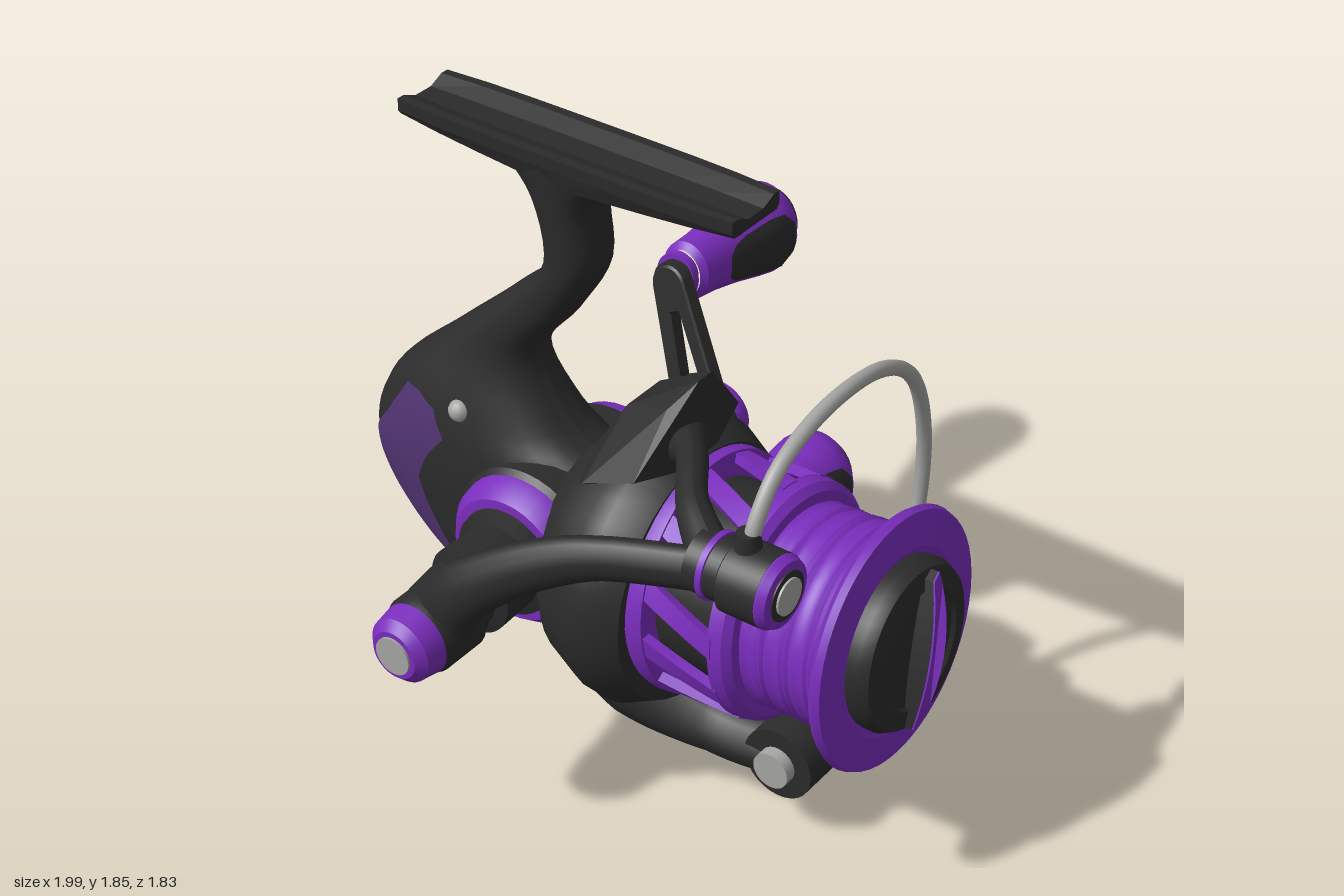
import * as THREE from 'three';
import { toCreasedNormals } from 'three/addons/utils/BufferGeometryUtils.js';
import { ConvexGeometry } from 'three/addons/geometries/ConvexGeometry.js';

const CX = -0.22; // centre line of the body
const mat = (name, color) => {
  const m = new THREE.MeshStandardMaterial({ color });
  m.name = name;
  return m;
};

export function createModel() {
  const black = mat('black', 0x2b2b2b);
  const purple = mat('purple', 0x7a2dbd);
  const darkPurple = mat('darkPurple', 0x503370);
  const silver = mat('silver', 0xa6a6a4);
  const root = new THREE.Group();
  root.name = 'fishingReel';

  const add = (name, geo, material, parent = root, x = 0, y = 0, z = 0) => {
    const m = new THREE.Mesh(geo, material);
    m.name = name;
    m.position.set(x, y, z);
    parent.add(m);
    return m;
  };
  const group = (name, x, y, z) => {
    const g = new THREE.Group();
    g.name = name;
    g.position.set(x, y, z);
    root.add(g);
    return g;
  };
  // Turned parts: profile pairs [radius, position along axis]
  const turn = (axis, profile, seg = 36) => {
    const g = new THREE.LatheGeometry(profile.map(p => new THREE.Vector2(...p)), seg);
    if (axis === 'x') g.rotateZ(-Math.PI / 2); else g.rotateX(Math.PI / 2);
    return toCreasedNormals(g, 0.6);
  };
  const disc = (axis, r, a, b, seg = 28) => turn(axis, [[0, a], [r, a], [r, b], [0, b]], seg);
  const v3 = p => new THREE.Vector3(...p);
  // Tube whose radius follows a list of values
  const limb = (points, radii, scaleX = 1) => {
    const curve = new THREE.CatmullRomCurve3(points.map(v3));
    const n = 24, sides = 14;
    const g = new THREE.TubeGeometry(curve, n, 1, sides);
    const pos = g.attributes.position, v = new THREE.Vector3();
    for (let i = 0; i <= n; i++) {
      const c = curve.getPointAt(i / n);
      const f = i / n * (radii.length - 1), k = Math.min(Math.floor(f), radii.length - 2);
      const r = THREE.MathUtils.lerp(radii[k], radii[k + 1], f - k);
      for (let j = 0; j <= sides; j++) {
        const id = i * (sides + 1) + j;
        v.fromBufferAttribute(pos, id).sub(c).multiplyScalar(r);
        pos.setXYZ(id, c.x + v.x * scaleX, c.y + v.y, c.z + v.z);
      }
    }
    g.computeVertexNormals();
    return g;
  };

  // Body and stem: sections [front z, front y, back z, back y, half width]
  const sections = [
    [-0.07, 1.82, -0.46, 1.82, 0.108], [-0.15, 1.7, -0.34, 1.7, 0.1], [-0.145, 1.52, -0.31, 1.5, 0.092],
    [-0.24, 1.35, -0.42, 1.38, 0.088], [-0.36, 1.18, -0.63, 1.19, 0.105], [-0.25, 0.98, -0.85, 0.98, 0.165],
    [-0.1, 0.88, -0.92, 0.8, 0.188], [-0.05, 0.7, -0.88, 0.66, 0.19], [-0.06, 0.5, -0.72, 0.48, 0.17],
    [-0.15, 0.395, -0.48, 0.375, 0.1], [-0.25, 0.375, -0.36, 0.37, 0.01]];
  const frontLine = new THREE.CatmullRomCurve3(sections.map(s => new THREE.Vector3(s[4], s[1], s[0])));
  const backLine = new THREE.CatmullRomCurve3(sections.map(s => new THREE.Vector3(s[4], s[3], s[2])));
  const bow = s => Math.sign(s) * Math.abs(s) ** 0.85;
  const bodySkin = (from, to, rows, cols, range, grow = 1) => {
    const pos = [], idx = [];
    for (let i = 0; i <= rows; i++) {
      const k = from + (to - from) * i / rows, t = k / (sections.length - 1);
      const f = frontLine.getPoint(t), b = backLine.getPoint(t), [a0, a1] = range(k);
      for (let j = 0; j <= cols; j++) {
        const a = THREE.MathUtils.degToRad(a0 + (a1 - a0) * j / cols);
        const c = bow(Math.cos(a)) * grow / 2;
        pos.push(CX + f.x * bow(Math.sin(a)) * grow, (f.y + b.y) / 2 + (f.y - b.y) * c, (f.z + b.z) / 2 + (f.z - b.z) * c);
        if (i < rows && j < cols) {
          const A = i * (cols + 1) + j, C = A + cols + 1;
          idx.push(A, C, A + 1, A + 1, C, C + 1);
        }
      }
    }
    const g = new THREE.BufferGeometry();
    g.setAttribute('position', new THREE.Float32BufferAttribute(pos, 3));
    g.setIndex(idx);
    g.computeVertexNormals();
    return g;
  };
  add('bodyAndStem', bodySkin(0, 10, 50, 32, () => [0, 360]), black);
  // Side panels: [section, start angle, end angle]
  const panelRows = [[4.85, 112, 125], [5, 98, 125], [5.5, 93, 131], [6, 103, 144], [6.5, 110, 143], [7, 110, 138], [8, 109, 115]];
  const panelRange = k => {
    let i = 0;
    while (i < panelRows.length - 2 && k > panelRows[i + 1][0]) i++;
    const p = panelRows[i], q = panelRows[i + 1], f = (k - p[0]) / (q[0] - p[0]);
    return [p[1] + (q[1] - p[1]) * f, p[2] + (q[2] - p[2]) * f];
  };
  add('leftSidePanel', bodySkin(4.85, 8, 42, 8, panelRange, 1.025), darkPurple);
  add('rightSidePanel', bodySkin(4.85, 8, 42, 8, k => panelRange(k).map(a => -a).reverse(), 1.025), darkPurple);
  for (const s of [-1, 1])
    add('bodyScrew', new THREE.SphereGeometry(0.033, 14, 10), silver, root, CX + s * 0.148, 1, -0.53);

  // Mounting foot with a grooved top
  const foot = new THREE.Shape([[-0.1, 1.795], [0.1, 1.795], [0.112, 1.825], [0.112, 1.86], [0.085, 1.86],
    [0.035, 1.84], [-0.035, 1.84], [-0.085, 1.86], [-0.112, 1.86], [-0.112, 1.825]].map(p => new THREE.Vector2(...p)));
  const footGeo = new THREE.ExtrudeGeometry(foot, { depth: 1.06, bevelEnabled: false, steps: 8 });
  footGeo.translate(CX, 0, -0.73);
  const fp = footGeo.attributes.position;
  for (let i = 0; i < fp.count; i++) { // thinner and narrower towards both ends
    const e = Math.abs(fp.getZ(i) + 0.2) / 0.53;
    if (fp.getY(i) < 1.81) fp.setY(i, 1.77 + 0.042 * e);
    fp.setX(i, CX + (fp.getX(i) - CX) * (1 - 0.12 * e ** 4));
  }
  footGeo.computeVertexNormals();
  add('mountingFoot', footGeo, black);

  // Gear housing and its shafts
  const gear = group('gearHousing', CX, 0.69, -0.27);
  add('drum', turn('x', [[0, -0.23], [0.2, -0.23], [0.235, -0.19], [0.235, 0.19], [0.2, 0.23], [0, 0.23]]), black, gear);
  for (const s of [-1, 1]) {
    const ring = add('drumRing', turn('x', [[0.222, 0.2], [0.215, 0.24], [0.185, 0.278], [0.14, 0.28]]), purple, gear);
    const shaft = add('shaftSleeve', turn('x', [[0.16, 0.27], [0.155, 0.3], [0.125, 0.31], [0.13, 0.44], [0.095, 0.45],
      [0.095, 0.48], [0.11, 0.49], [0.1, 0.58], [0, 0.58]]), black, gear);
    if (s < 0) ring.rotation.y = shaft.rotation.y = Math.PI;
  }
  const cap = group('shaftCap', 0, 0.69, -0.25);
  add('capBarrel', turn('x', [[0, -0.91], [0.1, -0.91], [0.112, -0.88], [0.112, -0.75], [0.09, -0.73], [0, -0.73]]), black, cap);
  add('capEnd', turn('x', [[0, -0.985], [0.07, -0.985], [0.095, -0.96], [0.105, -0.9], [0, -0.9]]), purple, cap);
  add('capScrew', disc('x', 0.055, -0.992, -0.98), silver, cap);

  // Rotor, its crest and arms
  add('rotor', turn('z', [[0, -0.19], [0.28, -0.18], [0.36, -0.1], [0.41, 0.02], [0.415, 0.08], [0.37, 0.17], [0.3, 0.17], [0, 0.15]], 40),
    black, root, CX, 0.68, 0);
  const crest = [];
  for (const s of [-1, 1])
    for (const [x, y, z] of [[0.03, 1.31, 0.18], [0.1, 1.24, 0.13], [0.23, 1.08, 0.12], [0.24, 1.02, -0.04],
      [0.07, 1.18, -0.02], [0.07, 1.07, -0.09], [0.15, 0.92, -0.15], [0.08, 1.05, 0.16]])
      crest.push(new THREE.Vector3(CX + s * x, y, z));
  add('rotorCrest', new ConvexGeometry(crest), black);
  add('lowerArm', limb([[-0.24, 0.46, -0.14], [-0.24, 0.3, 0], [-0.24, 0.225, 0.25], [-0.24, 0.24, 0.5]],
    [0.16, 0.14, 0.09, 0.08], 1.2), black);
  add('sideArm', limb([[-0.82, 0.68, -0.25], [-0.82, 0.84, -0.15], [-0.74, 1.03, 0.15], [-0.64, 1.1, 0.52]],
    [0.1, 0.075, 0.06, 0.06], 0.75), black);
  add('upperArm', limb([[-0.63, 1.12, 0.5], [-0.52, 1.16, 0.36], [-0.36, 1.165, 0.24], [-0.2, 1.08, 0.08]],
    [0.06, 0.042, 0.042, 0.09]), black);

  // Line roller joint
  const roller = group('lineRoller', -0.62, 1.1, 0);
  add('rollerBarrel', turn('z', [[0, 0.46], [0.085, 0.46], [0.085, 0.56], [0.1, 0.57], [0.1, 0.685], [0, 0.685]]), black, roller);
  add('rearRollerRing', turn('z', [[0, 0.505], [0.092, 0.505], [0.092, 0.522], [0, 0.522]]), purple, roller);
  add('frontRollerRing', turn('z', [[0.098, 0.68], [0.1, 0.69], [0.09, 0.712], [0.06, 0.716], [0.06, 0.7]]), purple, roller);
  add('rollerScrewSeat', disc('z', 0.068, 0.69, 0.719), black, roller);
  add('rollerScrew', disc('z', 0.05, 0.69, 0.725), silver, roller);
  add('bailPost', new THREE.CylinderGeometry(0.03, 0.05, 0.14, 16), black, roller, 0, 0.07, 0.6);

  // Bail wire and lower pivot
  const wire = [[-0.62, 1.16, 0.6], [-0.61, 1.25, 0.61], [-0.53, 1.355, 0.61], [-0.4, 1.41, 0.605], [-0.22, 1.422, 0.595],
    [0, 1.37, 0.575], [0.19, 1.23, 0.545], [0.3, 1, 0.52], [0.32, 0.75, 0.505], [0.25, 0.48, 0.5], [0.1, 0.28, 0.49], [-0.13, 0.2, 0.49]];
  add('bailWire', new THREE.TubeGeometry(new THREE.CatmullRomCurve3(wire.map(v3)), 80, 0.021, 12), silver);
  const pivot = group('bailPivot', 0, 0.25, 0.5);
  add('pivotBarrel', disc('x', 0.108, -0.33, -0.18), black, pivot);
  add('pivotBand', disc('x', 0.113, -0.18, -0.125), silver, pivot);
  add('pivotCover', disc('x', 0.112, -0.125, -0.118), black, pivot);
  add('pivotPin', disc('x', 0.055, -0.365, -0.11), silver, pivot);

  // Spool, tipped slightly upward
  const spool = group('spool', CX, 0.69, 0);
  spool.rotation.x = -0.06;
  add('spoolCore', disc('z', 0.265, 0.1, 0.5, 36), black, spool);
  add('rearSkirtBand', turn('z', [[0.25, 0.17], [0.34, 0.17], [0.345, 0.19], [0.343, 0.225], [0.31, 0.225], [0.25, 0.21]], 48), purple, spool);
  add('frontSkirtBand', turn('z', [[0.25, 0.44], [0.31, 0.43], [0.335, 0.43], [0.33, 0.47], [0.31, 0.49], [0.25, 0.49]], 48), purple, spool);
  const bars = 12;
  for (let k = 0; k < bars; k++) {
    const g = new THREE.BoxGeometry(0.06, 0.028, 0.22, 2, 1, 6), p = g.attributes.position;
    for (let i = 0; i < p.count; i++) {
      const z = p.getZ(i), r = 0.323 + p.getY(i);
      const a = (k + 0.5) / bars * Math.PI * 2 + p.getX(i) / 0.323 - z * 1.3;
      p.setXYZ(i, r * Math.sin(a), r * Math.cos(a), z + 0.33);
    }
    g.computeVertexNormals();
    add('skirtBar', g, purple, spool);
  }
  const thread = [[0.25, 0.46]];
  for (let i = 0; i <= 28; i++) thread.push([0.28 + (i % 2) * 0.003 + 0.002 * Math.sin(i * 2.3), 0.47 + i * 0.0095]);
  add('woundLine', turn('z', thread, 40), purple, spool);
  add('spoolLip', turn('z', [[0.26, 0.7], [0.29, 0.725], [0.352, 0.755], [0.362, 0.77], [0.355, 0.79], [0.26, 0.8], [0.235, 0.785], [0, 0.78]], 48), purple, spool);
  add('dragKnob', turn('z', [[0.235, 0.76], [0.24, 0.82], [0.225, 0.85], [0.17, 0.86], [0.16, 0.85], [0, 0.85]], 40), black, spool);
  // Knob fin with a tapered coloured face, lower towards its ends
  const fin = new THREE.Shape();
  fin.moveTo(-0.22, 0);
  fin.quadraticCurveTo(-0.06, 0.045, 0.2, 0.028);
  fin.lineTo(0.22, 0);
  fin.quadraticCurveTo(0.06, -0.045, -0.2, -0.028);
  fin.closePath();
  const finGeo = depth => {
    const g = new THREE.ExtrudeGeometry(fin, { depth, bevelEnabled: false, curveSegments: 10 });
    const p = g.attributes.position;
    for (let i = 0; i < p.count; i++) p.setZ(i, p.getZ(i) - 0.035 * (p.getX(i) / 0.22) ** 2);
    g.computeVertexNormals();
    return g.rotateZ(Math.PI / 2 - 0.3);
  };
  add('knobFin', finGeo(0.062), black, spool, 0, 0, 0.845);
  add('knobFinFace', finGeo(0.005), purple, spool, 0, 0, 0.907);

  // Double crank handle
  const hub = group('crankHub', 0, 0.68, -0.24);
  add('hubBarrel', disc('x', 0.1, 0.32, 0.4), black, hub);
  add('hubCap', turn('x', [[0.1, 0.38], [0.105, 0.4], [0.098, 0.43], [0.08, 0.445], [0.06, 0.445]]), purple, hub);
  add('hubScrewSeat', disc('x', 0.072, 0.42, 0.448), black, hub);
  add('hubScrew', disc('x', 0.047, 0.43, 0.453), silver, hub);
  const crankArm = (length, angle) => {
    const s = new THREE.Shape();
    s.moveTo(-0.09, 0);
    s.lineTo(0.09, 0);
    s.lineTo(0.055, length);
    s.absarc(0, length, 0.055, 0, Math.PI);
    s.lineTo(-0.09, 0);
    s.holes.push(new THREE.Path([[-0.042, 0.13], [-0.022, length - 0.07], [0.022, length - 0.07], [0.042, 0.13]].map(p => new THREE.Vector2(...p))));
    const g = new THREE.ExtrudeGeometry(s, { depth: 0.04, bevelEnabled: true, bevelSize: 0.006, bevelThickness: 0.006, bevelSegments: 1 });
    g.rotateY(Math.PI / 2);
    const p = g.attributes.position;
    for (let i = 0; i < p.count; i++) p.setX(i, p.getX(i) + 0.33 + 0.09 * p.getY(i) / length); // lean outward
    g.computeVertexNormals();
    g.rotateX(angle);
    add('crankArm', g, black, hub);
  };
  crankArm(0.4, Math.atan2(-0.18, 0.36));
  crankArm(0.45, Math.PI);

  const gripProfile = [[0.075, 0.02], [0.095, 0.04], [0.1, 0.12], [0.115, 0.22], [0.138, 0.33], [0.148, 0.39], [0.14, 0.44], [0.11, 0.475], [0, 0.48]];
  // Rounded grip inlay: [radius, position, half angle]
  const inlay = [[0.109, 0.14, 0.3], [0.113, 0.17, 0.55], [0.12, 0.22, 0.66], [0.143, 0.33, 0.68], [0.153, 0.385, 0.62], [0.147, 0.425, 0.35]];
  const inlayGeo = centre => {
    const cols = 10, g = new THREE.LatheGeometry(inlay.map(p => new THREE.Vector2(p[0], p[1])), cols);
    for (let i = 0; i <= cols; i++)
      inlay.forEach(([r, x, half], j) => {
        const a = centre + half * (2 * i / cols - 1);
        g.attributes.position.setXYZ(i * inlay.length + j, r * Math.sin(a), x, r * Math.cos(a));
      });
    g.computeVertexNormals();
    return g.rotateZ(-Math.PI / 2);
  };
  const grip = (y, z, tilt, size, length) => {
    const g = group('grip', 0.48, y, z);
    g.rotation.z = tilt;
    g.scale.set(length, size, size * 0.88);
    add('gripNeck', disc('x', 0.06, -0.05, 0.03), black, g);
    add('gripCollar', disc('x', 0.078, -0.015, 0.01), purple, g);
    add('gripBody', turn('x', gripProfile, 32), purple, g);
    for (const a of [0, Math.PI]) add('gripInlay', inlayGeo(a), black, g);
    add('gripEndRing', disc('x', 0.104, 0.46, 0.487), black, g);
    add('gripEndCap', disc('x', 0.074, 0.47, 0.495), silver, g);
  };
  grip(1.04, -0.43, -0.07, 0.96, 0.97);
  grip(0.225, -0.235, -0.14, 1.1, 1.03);
  return root;
}
